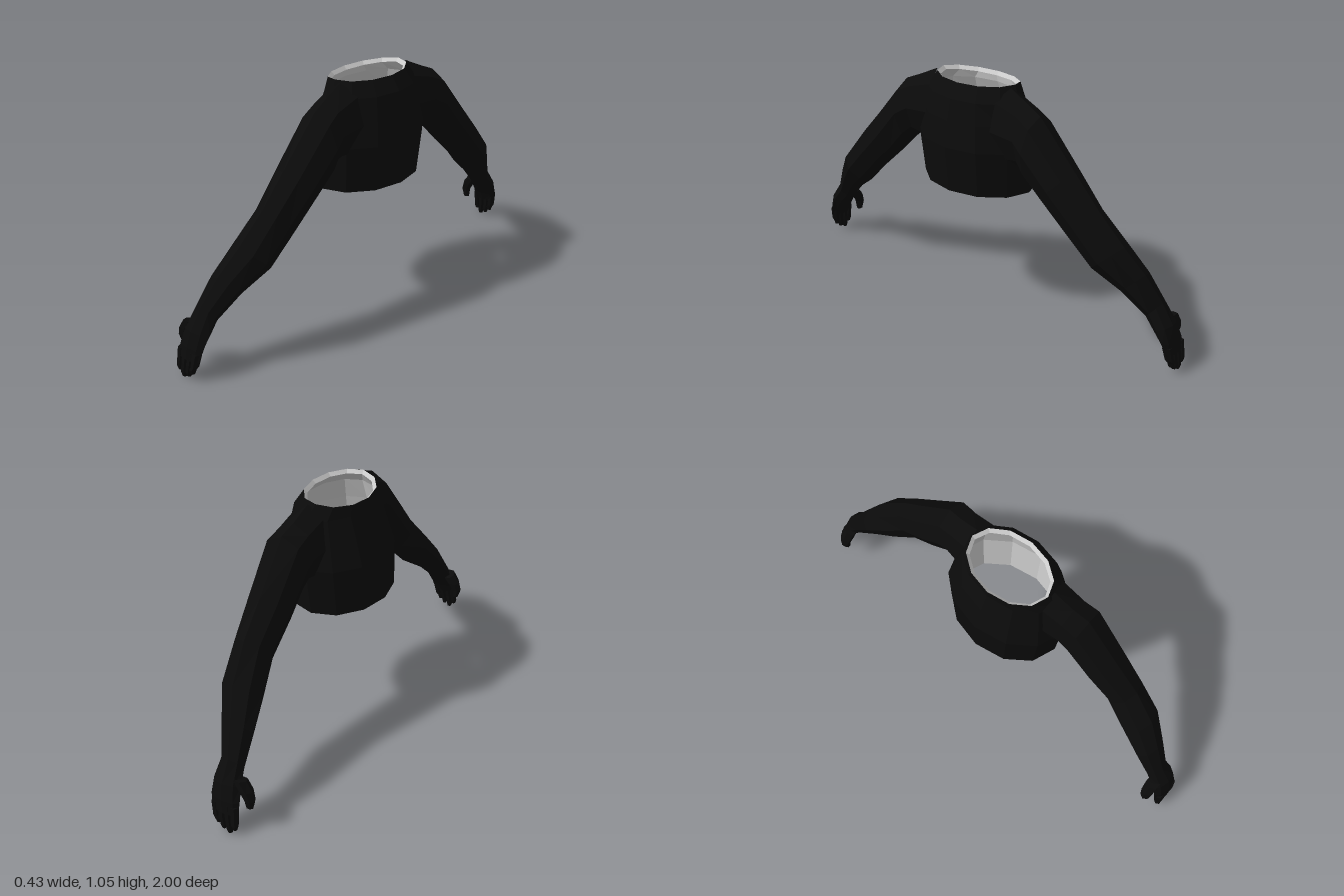
import * as THREE from 'three';

const skin = new THREE.MeshStandardMaterial({ color: 0x0b0b0b, flatShading: true });
const lining = new THREE.MeshStandardMaterial({ color: 0xcccccc, flatShading: true });

// Skin a list of closed rings (arrays of Vector3); optional end caps
function loft(name, rings, material, flip = false, capStart = false, capEnd = false) {
  const n = rings[0].length, pos = [], index = [];
  const tri = (a, b, c) => (flip ? index.push(a, c, b) : index.push(a, b, c));
  rings.forEach(r => r.forEach(p => pos.push(p.x, p.y, p.z)));
  for (let i = 0; i < rings.length - 1; i++) {
    for (let j = 0; j < n; j++) {
      const a = i * n + j, b = i * n + (j + 1) % n;
      tri(a, b, a + n);
      tri(b, b + n, a + n);
    }
  }
  const last = (rings.length - 1) * n;
  for (let j = 1; j < n - 1; j++) {
    if (capStart) tri(0, j + 1, j);
    if (capEnd) tri(last, last + j, last + j + 1);
  }
  const g = new THREE.BufferGeometry();
  g.setAttribute('position', new THREE.Float32BufferAttribute(pos, 3));
  g.setIndex(index);
  g.computeVertexNormals();
  const mesh = new THREE.Mesh(g, material);
  mesh.name = name;
  return mesh;
}

// Horizontal torso ring: [y, xMin, xMax, half depth along z, dip toward -x]
function torsoRing([y, x0, x1, hz, dip = 0], inset = 0) {
  return Array.from({ length: 12 }, (_, j) => {
    const a = j / 12 * Math.PI * 2, c = Math.cos(a);
    return new THREE.Vector3((x0 + x1) / 2 + ((x1 - x0) / 2 - inset) * c,
      y - dip * Math.max(0, -c), (hz - inset) * Math.sin(a));
  });
}

// Limb ring: [zTop, yTop, zBottom, yBottom, xMin, xMax]; side = +1 or -1 along z
function limbRing([zt, yt, zb, yb, x0, x1], side, sides, saddle) {
  return Array.from({ length: sides }, (_, j) => {
    const a = j / sides * Math.PI * 2, c = Math.cos(a), s = Math.sin(a);
    const wrap = saddle ? (c > 0 ? 0.08 : 0.03) * c * c : 0;
    return new THREE.Vector3((x0 + x1) / 2 + (x1 - x0) / 2 * c,
      (yt + yb) / 2 + (yt - yb) / 2 * s,
      side * ((zt + zb) / 2 + (zt - zb) / 2 * s - wrap));
  });
}

const TORSO = [
  [1.05, -0.13, 0.135, 0.195, 0.018],
  [0.99, -0.132, 0.175, 0.23],
  [0.90, -0.17, 0.195, 0.255],
  [0.79, -0.21, 0.213, 0.28],
  [0.59, -0.215, 0.19, 0.265],
];

// Shoulder to knuckles
const ARM = [
  [0.20, 1.045, 0.275, 0.72, -0.07, 0.14],
  [0.295, 1.0, 0.29, 0.74, -0.055, 0.14],
  [0.365, 0.97, 0.33, 0.70, -0.05, 0.157],
  [0.54, 0.775, 0.40, 0.63, -0.045, 0.143],
  [0.655, 0.65, 0.53, 0.51, -0.033, 0.128],
  [0.77, 0.52, 0.645, 0.40, -0.062, 0.116],
  [0.85, 0.41, 0.76, 0.32, -0.085, 0.06],
  [0.92, 0.295, 0.86, 0.225, -0.095, 0.01],
  [0.972, 0.215, 0.895, 0.19, -0.108, 0.017],
  [0.99, 0.15, 0.935, 0.14, -0.118, 0.013],
  [0.996, 0.095, 0.96, 0.09, -0.118, 0.0],
];

const THUMB = [
  [0.955, 0.235, 0.89, 0.215, -0.125, -0.07],
  [0.955, 0.19, 0.895, 0.18, -0.155, -0.095],
  [0.95, 0.15, 0.905, 0.145, -0.165, -0.118],
  [0.938, 0.106, 0.912, 0.104, -0.152, -0.122],
];

// Fingers: [x at knuckle, x at tip, tip height]
const FINGERS = [[-0.1, -0.106, 0.026], [-0.071, -0.083, 0.004], [-0.041, -0.056, 0.016], [-0.013, -0.032, 0.036]];

function arm(side, name) {
  const group = new THREE.Group();
  group.name = name;
  const limb = (part, sections, sides, saddle = false) => group.add(loft(part,
    sections.map((s, i) => limbRing(s, side, sides, saddle && i === 0)),
    skin, side < 0, !saddle, true));
  limb('armAndPalm', ARM, 8, true);
  limb('thumb', THUMB, 6);
  FINGERS.forEach(([xk, xt, tip], i) => {
    const xm = (xk + xt) / 2;
    limb('finger' + (i + 1), [
      [0.992, 0.13, 0.95, 0.125, xk - 0.017, xk + 0.017],
      [0.999, 0.07, 0.962, 0.068, xm - 0.016, xm + 0.016],
      [1.0, tip + 0.02, 0.968, tip + 0.018, xt - 0.015, xt + 0.015],
      [0.994, tip, 0.974, tip, xt - 0.009, xt + 0.009],
    ], 6);
  });
  return group;
}

export function createModel() {
  const model = new THREE.Group();
  model.name = 'torsoWithArms';
  // Outer torso shell, open at neck and waist
  model.add(loft('torso', TORSO.map(r => torsoRing(r)), skin));
  // Pale inner wall, meeting the shell at the neck edge
  const inner = TORSO.map((r, i) => torsoRing(r, i === 0 ? 0 : 0.012));
  inner.splice(1, 0, torsoRing([1.035, -0.13, 0.135, 0.195, 0.018], 0.014));
  model.add(loft('lining', inner.slice().reverse(), lining));
  // Dark rim around the waist
  const waist = TORSO[TORSO.length - 1];
  model.add(loft('waistRim', [torsoRing(waist), torsoRing(waist, 0.012)], skin));
  model.add(arm(1, 'rightArm'), arm(-1, 'leftArm'));
  model.getObjectByName('rightArm').name = 'armFront';
  model.getObjectByName('leftArm').name = 'armBack';
  return model;
}
